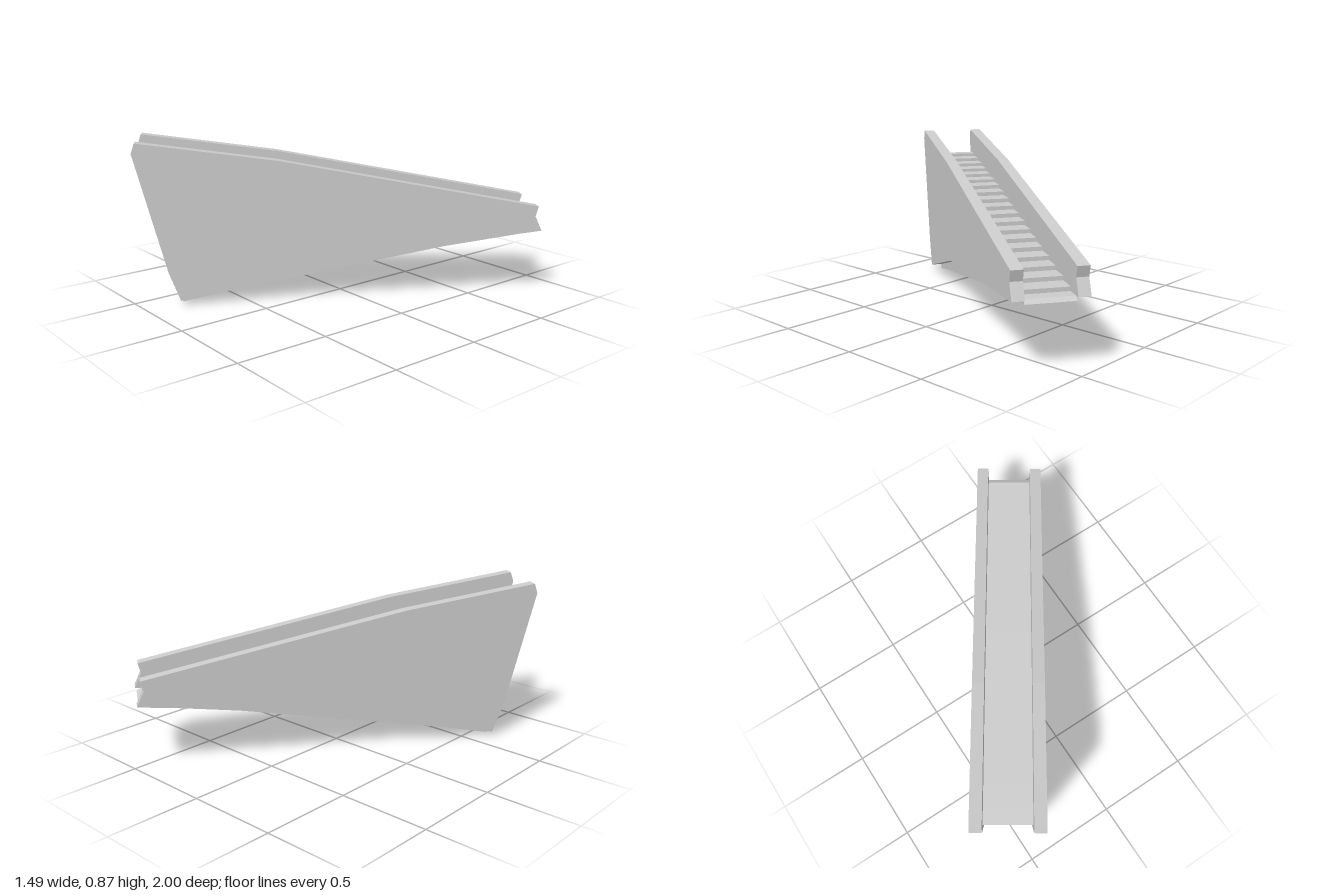
import * as THREE from 'three';

// Extrude a side profile (run, height) across the width, from t0 to t1.
function extrudeProfile(name, points, t0, t1) {
  const shape = new THREE.Shape(points.map(([s, y]) => new THREE.Vector2(s, y)));
  const geometry = new THREE.ExtrudeGeometry(shape, { depth: t1 - t0, bevelEnabled: false });
  geometry.translate(0, 0, t0);
  const material = new THREE.MeshStandardMaterial({ color: 0xcccccc, flatShading: true });
  const mesh = new THREE.Mesh(geometry, material);
  mesh.name = name;
  return mesh;
}

// Height of the stair run: gentler at the top, steeper below the bend.
function treadHeight(s) {
  const bend = -0.335;
  return s < bend
    ? THREE.MathUtils.mapLinear(s, -0.99, bend, 0.725, 0.62)
    : THREE.MathUtils.mapLinear(s, bend, 1.02, 0.62, 0.355);
}

export function createModel() {
  const model = new THREE.Group();
  model.name = 'staircase';

  const outer = 0.182;
  const inner = 0.121;

  // Side walls with a bent handrail line and a notched lower end
  const wallProfile = [
    [-0.862, 0.025], [-0.92, 0.18], [-1.08, 0.815], [-1.062, 0.868],
    [-0.335, 0.765], [1.055, 0.49], [1.04, 0.435], [1.077, 0.355], [-0.25, 0.205],
  ];
  model.add(extrudeProfile('leftWall', wallProfile, inner, outer));
  model.add(extrudeProfile('rightWall', wallProfile, -outer, -inner));

  // Stair body: recessed upper end, stepped top and sloping underside
  const profile = [[-0.855, 0], [-0.865, 0.025], [-0.92, 0.18], [-1.03, 0.725]];
  const risers = 19;
  const first = -0.945;
  const going = 1.918 / (risers - 1);
  for (let i = 0; i < risers; i++) {
    const s = first + i * going;
    profile.push([s, treadHeight(s - going / 2)], [s, treadHeight(s + going / 2)]);
  }
  profile.push([1.045, treadHeight(first + (risers - 0.5) * going)]);
  profile.push([1.07, 0.337], [0.55, 0.265], [-0.6, 0.055]);
  model.add(extrudeProfile('steps', profile, -inner, inner));

  // The flight runs diagonally across the ground
  model.rotation.y = Math.atan2(0.835, 0.55);
  const root = new THREE.Group();
  root.name = 'stairs';
  root.add(model);
  return root;
}
